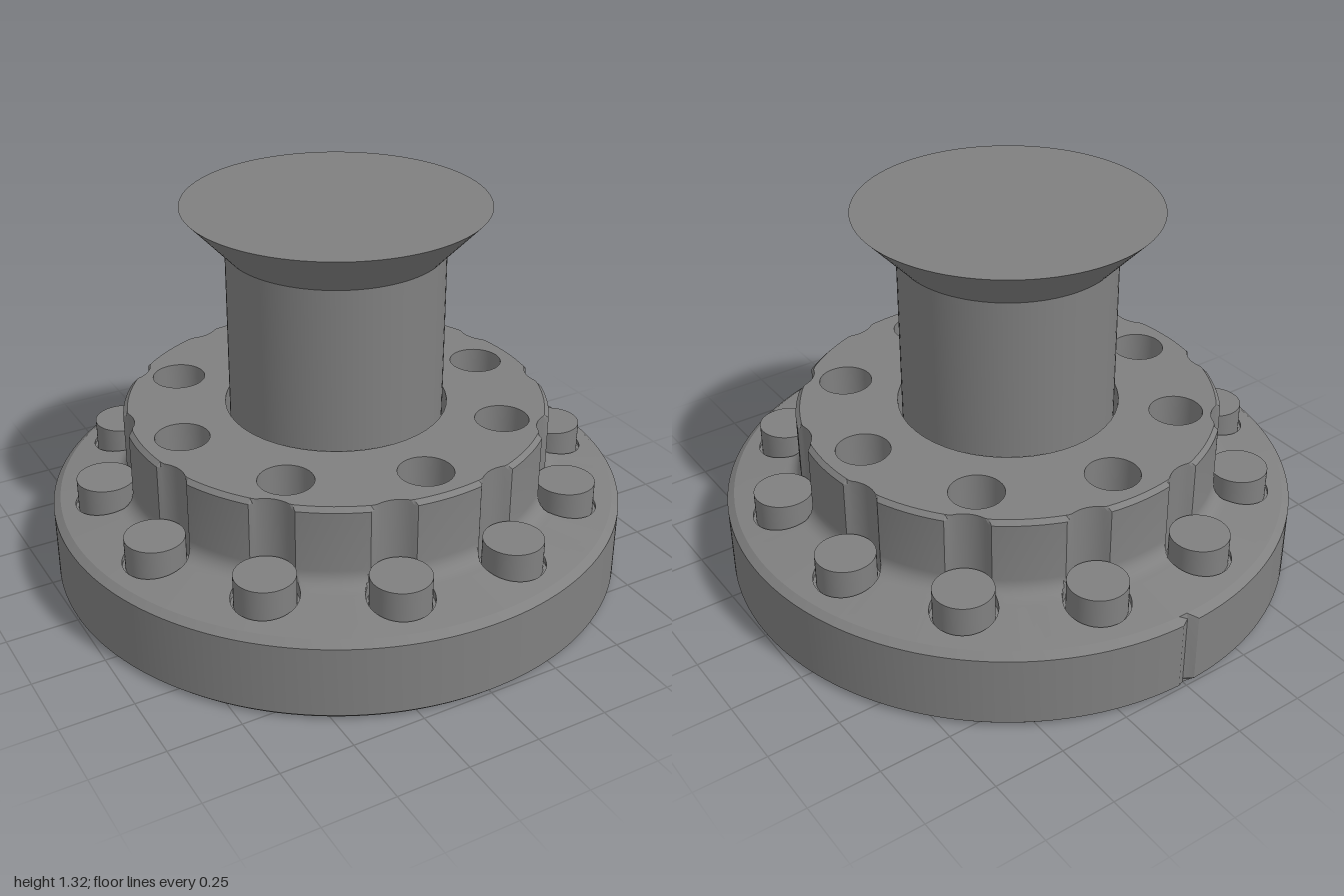
import * as THREE from 'three';
import { toCreasedNormals } from 'three/addons/utils/BufferGeometryUtils.js';

const PINS = 12, PIN_RING = 0.815, PIN_R = 0.1, POCKET_R = 0.11, POCKET_FLOOR = 0.28;
const HOLES = 8, HOLE_RING = 0.585, HOLE_R = 0.092, BORE_R = 0.385;
const HUB_R = 0.738, HUB_TOP = 0.595, HOLE_FLOOR = 0.4, FILLET = 0.055;
const STEP = (Math.PI * 2) / PINS, POCKET_ANGLE = Math.asin(POCKET_R / PIN_RING);

const deckHeight = (r) => 0.285 + (0.975 - r) * 0.16;

// Angles around the axis, with samples gathered so each pocket is a clean circle
const angles = [];
for (let k = 0; k < PINS; k++) {
  for (let i = -15; i < 15; i++) {
    const n = Math.abs(i);
    const a = n <= 11
      ? Math.asin(Math.sin(POCKET_ANGLE) * Math.sin((n / 11) * Math.PI / 2))
      : POCKET_ANGLE + ((n - 11) / 4) * (STEP / 2 - POCKET_ANGLE);
    angles.push({ offset: a, angle: (k + 0.5) * STEP + Math.sign(i) * a });
  }
}

// Near and far radius of the pin pocket at this offset from the pin's centre line
function pocketSpan(offset) {
  const a = Math.min(offset, POCKET_ANGLE);
  const half = Math.sqrt(Math.max(0, POCKET_R ** 2 - (PIN_RING * Math.sin(a)) ** 2));
  const mid = PIN_RING * Math.cos(a);
  return { near: mid - half, far: mid + half, open: half > 1e-6 };
}

// Half section of rim, deck, pocket, fillet and hub at one offset
function section(offset) {
  const { near, far, open } = pocketSpan(offset);
  const clamp = (r) => Math.min(r, near);
  const filletX = HUB_R + FILLET, nearTop = Math.min(deckHeight(near), deckHeight(filletX));
  const points = [
    [0, 0.185], [0.93, 0.185], [0.93, 0], [0.985, 0], [1, 0.015], [1, 0.265], [0.975, 0.285],
    [far, deckHeight(far)],
    [far, open ? POCKET_FLOOR : deckHeight(far)],
    [near, open ? POCKET_FLOOR : nearTop],
    [near, nearTop],
  ];
  for (let i = 0; i <= 6; i++) {
    const a = (i / 6) * Math.PI / 2;
    points.push([clamp(filletX - FILLET * Math.sin(a)),
      deckHeight(filletX) + FILLET * (1 - Math.cos(a))]);
  }
  points.push([clamp(HUB_R), 0.58], [clamp(HUB_R - 0.015), HUB_TOP]);
  return points;
}

const lathe = (profile, segments) =>
  new THREE.LatheGeometry(profile.map(([x, y]) => new THREE.Vector2(x, y)), segments);

// Turned body whose section varies with angle; a small V notch marks the back of the rim
function bodyGeometry() {
  const geometry = lathe(section(STEP / 2), angles.length);
  const pos = geometry.attributes.position;
  for (let i = 0, v = 0; i <= angles.length; i++) {
    const { offset, angle } = angles[i % angles.length];
    for (const [r, y] of section(offset)) {
      const x = r * Math.sin(angle), z = r * Math.cos(angle);
      const limit = z < 0 ? 0.98 + Math.abs(x) * 0.63 : 1;
      const s = r > limit ? limit / r : 1;
      pos.setXYZ(v++, x * s, y, z * s);
    }
  }
  return toCreasedNormals(geometry, 0.5);
}

export function createModel() {
  const model = new THREE.Group();
  const grey = new THREE.MeshStandardMaterial({ color: 0x808080 });
  const inner = new THREE.MeshStandardMaterial({ color: 0x808080, side: THREE.DoubleSide });
  const add = (name, geometry, material = grey, x = 0, y = 0, z = 0) => {
    const mesh = new THREE.Mesh(geometry, material);
    mesh.name = name;
    mesh.position.set(x, y, z);
    model.add(mesh);
  };

  add('flangedBody', bodyGeometry());

  // Hub face: scalloped outline with the bore and a ring of holes
  const face = new THREE.Shape(angles.map(({ offset, angle }) => {
    const r = Math.min(HUB_R - 0.015, pocketSpan(offset).near);
    return new THREE.Vector2(r * Math.cos(angle), r * Math.sin(angle));
  }));
  const cutCircle = (x, y, r) =>
    face.holes.push(new THREE.Path().absarc(x, y, r, 0, Math.PI * 2, true));
  cutCircle(0, 0, BORE_R);

  // Blind holes
  const depth = HUB_TOP - HOLE_FLOOR;
  const wall = new THREE.CylinderGeometry(HOLE_R, HOLE_R, depth, 48, 1, true);
  const floor = new THREE.CircleGeometry(HOLE_R, 48).rotateX(-Math.PI / 2);
  for (let i = 0; i < HOLES; i++) {
    const a = (i / HOLES) * Math.PI * 2;
    const x = HOLE_RING * Math.cos(a), z = HOLE_RING * Math.sin(a);
    cutCircle(x, -z, HOLE_R);
    add('holeWall', wall, inner, x, HOLE_FLOOR + depth / 2, z);
    add('holeFloor', floor, inner, x, HOLE_FLOOR, z);
  }
  add('hubFace', new THREE.ShapeGeometry(face, 24).rotateX(-Math.PI / 2), grey, 0, HUB_TOP, 0);

  // Bore around the column
  add('boreWall', new THREE.CylinderGeometry(BORE_R, BORE_R, depth, 96, 1, true), inner,
    0, HOLE_FLOOR + depth / 2, 0);
  add('boreFloor', new THREE.CircleGeometry(BORE_R, 96).rotateX(-Math.PI / 2), inner,
    0, HOLE_FLOOR, 0);

  // Column with flared head
  add('column', toCreasedNormals(lathe(
    [[0.37, HOLE_FLOOR], [0.37, 1.16], [0.515, 1.315], [0, 1.315]], 96), 0.5));

  // Ring of pins standing in the pockets
  const pin = new THREE.CylinderGeometry(PIN_R, PIN_R, 0.12, 48);
  for (let i = 0; i < PINS; i++) {
    const a = (i + 0.5) * STEP;
    add('pin', pin, grey, PIN_RING * Math.cos(a), 0.33, PIN_RING * Math.sin(a));
  }
  return model;
}
